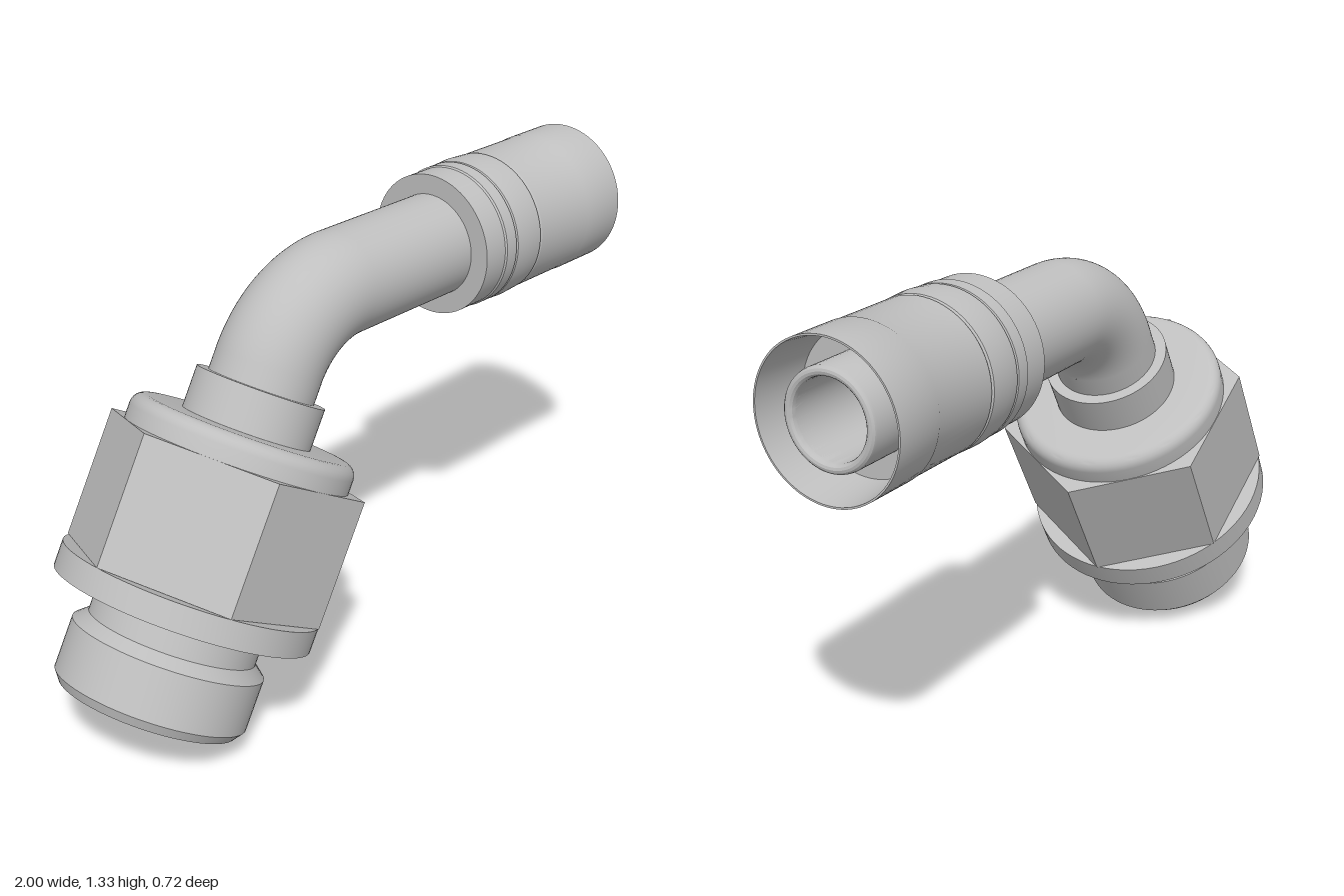
import * as THREE from 'three';
import { toCreasedNormals } from 'three/addons/utils/BufferGeometryUtils.js';

const STEEL = new THREE.MeshStandardMaterial({ color: 0xbfbfbf, side: THREE.DoubleSide });
STEEL.name = 'steel grey';

const SEG = 72;
const TILT = Math.PI / 6;        // lean of the threaded end
const BORE = 0.105, PIPE = 0.148; // pipe radii
const BEND = 0.312;              // centreline radius of the elbow
const AXIS_Y = 1.12, BEND_X = -0.024;
const NECK = 0.969;              // distance along the threaded end where the elbow starts

function add(parent, name, geometry) {
  const mesh = new THREE.Mesh(geometry, STEEL);
  mesh.name = name;
  parent.add(mesh);
  return mesh;
}

// Turned part from [radius, height] pairs, with sharp edges kept
function turned(points) {
  const profile = points.map(([r, h]) => new THREE.Vector2(r, h));
  return toCreasedNormals(new THREE.LatheGeometry(profile, SEG), 0.5);
}

// Open pipe wall between two heights
function pipe(r, from, to) {
  const g = new THREE.CylinderGeometry(r, r, to - from, SEG, 1, true);
  return g.translate(0, (from + to) / 2, 0);
}

// Quarter-round corner points around (r, h)
function round(r, h, radius, start, end, steps = 6) {
  return Array.from({ length: steps + 1 }, (_, i) => {
    const a = start + (end - start) * i / steps;
    return [r + radius * Math.cos(a), h + radius * Math.sin(a)];
  });
}

export function createModel() {
  const model = new THREE.Group();
  model.name = 'elbowHoseFitting';

  // Threaded end, built upright and then leaned over
  const connector = new THREE.Group();
  connector.name = 'threadedConnector';
  connector.position.set(-0.778, 0.125, 0);
  connector.rotation.z = -TILT;
  model.add(connector);

  add(connector, 'threadedStud', turned([
    [BORE, 0.15], [0.135, 0], [0.25, 0], [0.27, 0.027], [0.27, 0.17],
    [0.235, 0.2], [0.235, 0.29],
  ]));
  add(connector, 'flange', turned([
    [0.2, 0.285], [0.36, 0.285], [0.36, 0.357], [0.2, 0.357],
  ]));

  const hex = new THREE.CylinderGeometry(0.364, 0.364, 0.358, 6, 1, false, Math.PI / 6)
    .translate(0, 0.537, 0);
  // Hollow hex: drop the caps and close the ends with ring plates
  const walls = toCreasedNormals(
    new THREE.CylinderGeometry(0.364, 0.364, 0.358, 6, 1, true, Math.PI / 6).translate(0, 0.537, 0), 0.3);
  hex.dispose();
  add(connector, 'hexNut', walls);
  for (const [name, y, turn] of [['hexNutTop', 0.716, -1], ['hexNutBottom', 0.358, 1]]) {
    add(connector, name, new THREE.RingGeometry(0.15, 0.364, 6, 1)
      .rotateX(turn * Math.PI / 2).translate(0, y, 0));
  }

  add(connector, 'nutCollar', turned([
    [0.314, 0.71], ...round(0.279, 0.757, 0.035, 0, Math.PI / 2), [0.15, 0.792],
  ]));
  add(connector, 'pipeSleeve', turned([[0.18, 0.785], [0.18, 0.908], [0.14, 0.908]]));
  add(connector, 'pipeNeck', pipe(PIPE, 0.88, NECK));
  add(connector, 'connectorBore', pipe(BORE, 0.15, NECK));

  // Elbow, outside and inside walls
  for (const [name, r] of [['elbow', PIPE], ['elbowBore', BORE]]) {
    const g = new THREE.TorusGeometry(BEND, r, SEG, 32, Math.PI / 3);
    g.rotateZ(Math.PI / 2).translate(BEND_X, AXIS_Y - BEND, 0);
    add(model, name, g);
  }

  // Hose end, built upright and then laid along x
  const hoseEnd = new THREE.Group();
  hoseEnd.name = 'hoseEnd';
  hoseEnd.position.y = AXIS_Y;
  hoseEnd.rotation.z = -Math.PI / 2;
  model.add(hoseEnd);

  add(hoseEnd, 'straightPipe', pipe(PIPE, BEND_X, 0.4));
  add(hoseEnd, 'straightBore', pipe(BORE, BEND_X, 0.975));
  add(hoseEnd, 'crimpSleeve', turned([
    [0.14, 0.368], [0.205, 0.368], [0.205, 0.45], [0.209, 0.455],
    [0.209, 0.497], [0.203, 0.5], [0.209, 0.505], [0.212, 0.55], [0.209, 0.61],
    [0.204, 0.614], [0.208, 0.62], [0.208, 0.84], [0.21, 0.845], [0.21, 1],
    [0.205, 1], [0.19, 0.84], [0.12, 0.84],
  ]));
  add(hoseEnd, 'hoseNipple', turned([
    [0.132, 0.8], ...round(0.1185, 0.978, 0.0135, 0, Math.PI), [BORE, 0.9],
  ]));

  return model;
}
